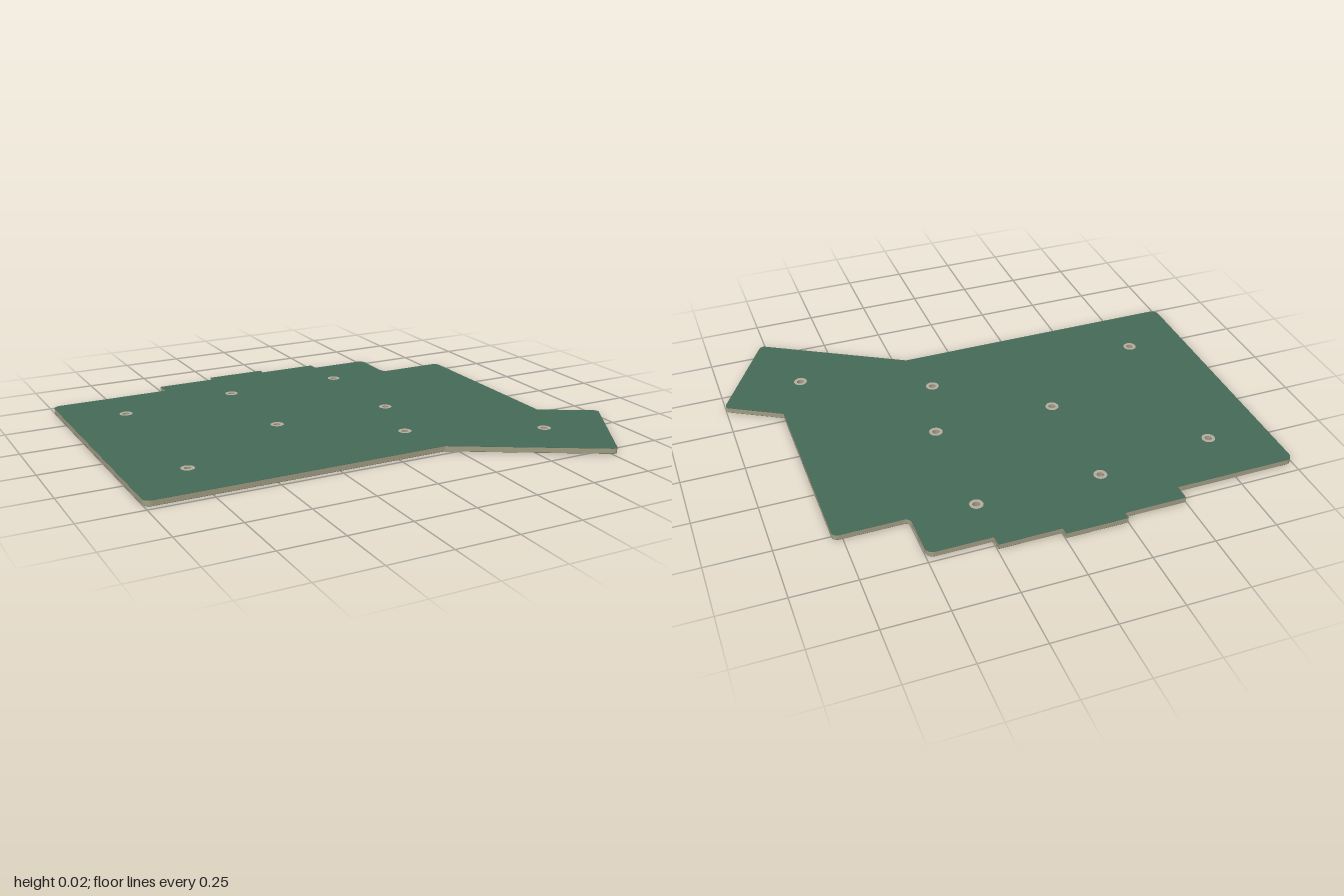
import * as THREE from 'three';

const THICK = 0.022, SKIN = 0.001, HOLE_R = 0.014, PAD_R = 0.027;

// Board outline: x, z, corner radius
const OUTLINE = [
  [-1, -0.705, 0.03], [-0.5, -0.705, 0], [-0.5, -0.77, 0], [-0.25, -0.77, 0],
  [-0.25, -0.8, 0], [-0.003, -0.8, 0], [-0.003, -0.77, 0], [0.246, -0.77, 0],
  [0.246, -0.727, 0], [0.497, -0.727, 0.03], [0.497, -0.525, 0.025], [0.787, -0.525, 0.025],
  [0.787, 0.271, 0], [1.006, 0.397, 0.02], [0.771, 0.806, 0.02], [0.203, 0.475, 0.01],
  [-1, 0.475, 0.03],
];

// Mounting hole centres: x, z
const HOLES = [
  [-0.755, -0.475], [-0.258, -0.535], [0.244, -0.535], [-0.258, -0.06],
  [0.244, -0.06], [-0.755, 0.24], [0.157, 0.25], [0.67, 0.475],
];

function boardShape(holeRadius) {
  const shape = new THREE.Shape();
  const pts = OUTLINE.map(([x, z]) => new THREE.Vector2(x, z));
  const n = pts.length;
  pts.forEach((p, i) => {
    const r = OUTLINE[i][2];
    const toPrev = pts[(i + n - 1) % n].clone().sub(p).normalize();
    const toNext = pts[(i + 1) % n].clone().sub(p).normalize();
    // Tangent length and cubic handles approximating a circular fillet
    const half = Math.acos(toPrev.dot(toNext)) / 2;
    const t = r / Math.tan(half);
    const h = t - (4 / 3) * Math.tan((Math.PI - 2 * half) / 4) * r;
    const at = (dir, d) => p.clone().addScaledVector(dir, d);
    const a = at(toPrev, t), b = at(toNext, t);
    if (i === 0) shape.moveTo(a.x, a.y); else shape.lineTo(a.x, a.y);
    if (r > 0) {
      const c = at(toPrev, h), d = at(toNext, h);
      shape.bezierCurveTo(c.x, c.y, d.x, d.y, b.x, b.y);
    }
  });
  shape.closePath();
  HOLES.forEach(([x, z]) => shape.holes.push(circle(new THREE.Path(), x, z, holeRadius)));
  return shape;
}

function circle(path, x, z, r) {
  return path.absarc(x, z, r, 0, Math.PI * 2, true);
}

// Lay a shape drawn in x,z flat, filling from bottom to top
function slab(name, shape, bottom, top, material) {
  const geometry = new THREE.ExtrudeGeometry(shape, {
    depth: top - bottom, bevelEnabled: false, curveSegments: 12,
  });
  geometry.rotateX(Math.PI / 2);
  geometry.translate(0, top, 0);
  const mesh = new THREE.Mesh(geometry, material);
  mesh.name = name;
  return mesh;
}

export function createModel() {
  const model = new THREE.Group();
  model.name = 'circuitBoard';
  const coreMat = new THREE.MeshStandardMaterial({ color: 0xa19c82 });
  const maskMat = new THREE.MeshStandardMaterial({ color: 0x446a58 });
  const padMat = new THREE.MeshStandardMaterial({ color: 0xb5aca0 });

  // Bare laminate between two coloured skins
  model.add(slab('core', boardShape(HOLE_R), SKIN, THICK - SKIN, coreMat));
  const skinShape = boardShape(PAD_R);
  model.add(slab('topMask', skinShape, THICK - SKIN, THICK, maskMat));
  model.add(slab('bottomMask', skinShape, 0, SKIN, maskMat));

  // Metal ring around each mounting hole, on both faces
  HOLES.forEach(([x, z]) => {
    const ring = circle(new THREE.Shape(), x, z, PAD_R);
    ring.holes.push(circle(new THREE.Path(), x, z, HOLE_R));
    model.add(slab('topPad', ring, THICK - SKIN, THICK, padMat));
    model.add(slab('bottomPad', ring, 0, SKIN, padMat));
  });
  return model;
}
